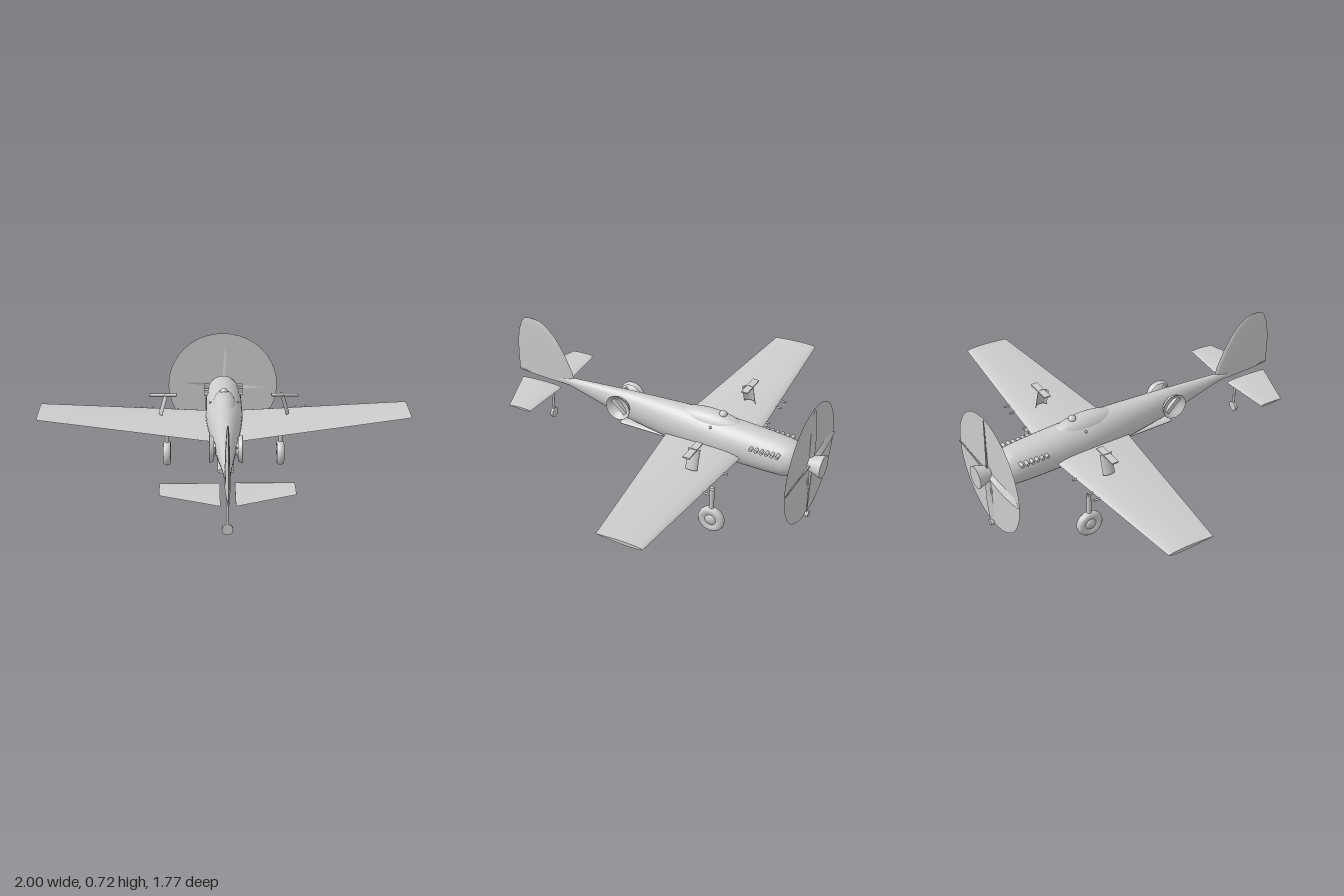
import * as THREE from 'three';
import { toCreasedNormals } from 'three/addons/utils/BufferGeometryUtils.js';

const mat = new THREE.MeshStandardMaterial({ color: 0xcccccc });
const thin = new THREE.MeshStandardMaterial({ color: 0xcccccc, side: THREE.DoubleSide });
const V = (x, y, z) => new THREE.Vector3(x, y, z);

// Closed skin through equal-length loops of points, with end caps
function loft(rings, crease = 0.7) {
  const n = rings[0].length, pts = rings.flat(), tris = [];
  for (let r = 0; r < rings.length - 1; r++) {
    for (let i = 0; i < n; i++) {
      const a = r * n + i, b = r * n + (i + 1) % n;
      tris.push([a, b, a + n], [b, b + n, a + n]);
    }
  }
  [0, rings.length - 1].forEach((r, end) => {
    const c = pts.length, mid = V(0, 0, 0);
    rings[r].forEach(p => mid.addScaledVector(p, 1 / n));
    pts.push(mid);
    for (let i = 0; i < n; i++) {
      const a = r * n + i, b = r * n + (i + 1) % n;
      tris.push(end ? [a, b, c] : [b, a, c]);
    }
  });
  // Turn all faces outward by checking the enclosed volume
  let volume = 0;
  for (const [a, b, c] of tris) volume += pts[a].dot(V(0, 0, 0).crossVectors(pts[b], pts[c]));
  const index = tris.flatMap(([a, b, c]) => (volume < 0 ? [a, c, b] : [a, b, c]));
  const geo = new THREE.BufferGeometry().setFromPoints(pts);
  geo.setIndex(index);
  return toCreasedNormals(geo.toNonIndexed(), crease);
}

// Aerofoil loop: u runs from leading edge (0) to trailing edge (1), t is -1..1 thickness
const foil = Array.from({ length: 24 }, (_, i) => {
  const a = i / 24 * Math.PI * 2, u = (1 - Math.cos(a)) / 2;
  return [u, Math.sin(a) * Math.sqrt(1 - u) * 1.3];
});

export function createModel() {
  const model = new THREE.Group();
  const add = (name, geo, x = 0, y = 0, z = 0, material = mat, parent = model) => {
    const mesh = new THREE.Mesh(geo, material);
    mesh.name = name;
    mesh.position.set(x, y, z);
    parent.add(mesh);
    return mesh;
  };
  const rodZ = (r0, r1, len) => new THREE.CylinderGeometry(r0, r1, len, 24).rotateX(Math.PI / 2);

  // Fuselage sections: z, top, bottom, half width
  const body = [
    [-0.77, 0.395, 0.285, 0.055], [-0.755, 0.41, 0.262, 0.072], [-0.73, 0.422, 0.243, 0.088],
    [-0.69, 0.43, 0.233, 0.096], [-0.6, 0.438, 0.23, 0.1], [-0.45, 0.449, 0.229, 0.1],
    [-0.3, 0.456, 0.234, 0.1], [-0.18, 0.46, 0.238, 0.092], [-0.04, 0.456, 0.248, 0.078],
    [0.22, 0.446, 0.286, 0.05], [0.4, 0.434, 0.332, 0.032], [0.56, 0.422, 0.375, 0.018],
    [0.7, 0.408, 0.382, 0.012], [0.88, 0.394, 0.386, 0.004],
  ];
  add('fuselage', loft(body.map(([z, top, bot, w]) => Array.from({ length: 36 }, (_, i) => {
    const a = i / 36 * Math.PI * 2;
    return V(Math.cos(a) * w, (top + bot) / 2 + Math.sin(a) * (top - bot) / 2, z);
  }))));
  add('canopy', new THREE.SphereGeometry(1, 32, 20).scale(0.066, 0.073, 0.2), 0, 0.406, -0.27);
  add('canopyKnob', new THREE.SphereGeometry(0.021, 20, 14), 0, 0.472, -0.34);

  // Radiator duct under the belly and chin intake
  add('radiatorDuct', rodZ(1, 1, 0.4).scale(0.042, 0.014, 1), 0, 0.262, 0.035);
  add('chinIntake', rodZ(0.023, 0.023, 0.085), 0, 0.229, -0.775);

  // Tail fin sections: y, leading z, trailing z, half thickness
  const fin = [
    [0.385, 0.53, 0.885, 0.014], [0.46, 0.55, 0.886, 0.013], [0.56, 0.595, 0.885, 0.011],
    [0.64, 0.645, 0.872, 0.008], [0.69, 0.695, 0.853, 0.006], [0.714, 0.732, 0.835, 0.004],
    [0.722, 0.765, 0.805, 0.002],
  ];
  add('tailFin', loft(fin.map(([y, z0, z1, t]) => foil.map(([u, k]) => V(k * t, y, z0 + u * (z1 - z0))))));

  // Wing-like surface from sections: x, y, leading z, trailing z, half thickness
  const panel = (s, sections) => loft(sections.map(([x, y, z0, z1, t]) =>
    foil.map(([u, k]) => V(s * x, y + k * t - 0.03 * u * t, z0 + u * (z1 - z0)))));

  for (const s of [1, -1]) {
    const side = s > 0 ? 'left' : 'right';
    add(side + 'Wing', panel(s, [
      [0, 0.302, -0.485, -0.04, 0.026], [0.1, 0.305, -0.48, -0.055, 0.026],
      [0.97, 0.369, -0.437, -0.19, 0.011], [1, 0.372, -0.435, -0.195, 0.009],
    ]));
    add(side + 'Tailplane', panel(s, [
      [0.035, 0.368, 0.598, 0.845, 0.009], [0.315, 0.374, 0.612, 0.742, 0.006],
    ]));

    // Main landing gear
    const gear = new THREE.Group();
    gear.name = side + 'MainGear';
    gear.position.set(s * 0.317, 0.07, -0.44);
    model.add(gear);
    add('strut', new THREE.CylinderGeometry(0.012, 0.012, 0.14, 16), 0, 0.11, 0, mat, gear);
    const tyre = [[0.03, -0.014], [0.046, -0.021], [0.06, -0.02], [0.068, -0.012], [0.07, 0],
      [0.068, 0.012], [0.06, 0.02], [0.046, 0.021], [0.03, 0.014]].map(p => new THREE.Vector2(...p));
    add('tyre', new THREE.LatheGeometry(tyre, 36).rotateZ(Math.PI / 2), 0, 0, 0, thin, gear);
    const hub = [[0, -0.022], [0.015, -0.019], [0.034, -0.012], [0.034, 0.012], [0.015, 0.019], [0, 0.022]]
      .map(p => new THREE.Vector2(...p));
    add('hub', new THREE.LatheGeometry(hub, 28).rotateZ(Math.PI / 2), 0, 0, 0, mat, gear);

    // Pedestal above the wing: leaning curved shell with a flat bar on top
    const shell = new THREE.CylinderGeometry(0.032, 0.032, 0.11, 20, 3, true, s > 0 ? 0 : Math.PI, Math.PI);
    shell.scale(0.6, 1, 1);
    add(side + 'PedestalShell', shell, s * 0.32, 0.402, -0.335, thin).rotation.z = s * 0.28;
    add(side + 'PedestalBar', new THREE.BoxGeometry(0.145, 0.007, 0.036), s * 0.328, 0.454, -0.337);

    // Wing gun barrels
    for (const x of [0.253, 0.395, 0.455]) {
      add(side + 'GunBarrel', rodZ(0.005, 0.005, 0.05), s * x, 0.304 + (x - 0.1) * 0.074, -0.466);
    }

    // Row of exhaust stubs on the nose
    for (let i = 0; i < 6; i++) {
      add(side + 'Exhaust', new THREE.CylinderGeometry(0.009, 0.009, 0.035, 12).rotateZ(Math.PI / 2),
        s * 0.092, 0.385, -0.54 - i * 0.028);
    }
    add(side + 'CockpitStud', new THREE.SphereGeometry(0.007, 12, 8), s * 0.074, 0.425, -0.305);

    // Round side blister: rim, shallow dish and slanting bar
    const blister = new THREE.Group();
    blister.name = side + 'SideBlister';
    blister.position.set(s * 0.06, 0.38, 0.225);
    blister.scale.x = s;
    model.add(blister);
    const dish = [[0.001, -0.012], [0.03, -0.008], [0.05, 0.004], [0.068, 0.024], [0.07, 0.02], [0.06, 0]]
      .map(p => new THREE.Vector2(...p));
    add('dish', new THREE.LatheGeometry(dish, 36).rotateZ(-Math.PI / 2), 0, 0, 0, thin, blister);
    add('bar', new THREE.BoxGeometry(0.02, 0.1, 0.024), 0, 0, 0, mat, blister).rotation.x = 0.8;
  }

  // Tail gear
  add('tailStrut', new THREE.CylinderGeometry(0.007, 0.007, 0.17, 14), 0, 0.262, 0.68);
  add('tailWheel', rodZ(0.027, 0.027, 0.014), 0, 0.167, 0.68);

  // Propeller: flared spinner, four twisted blades and thin sweep disc
  const propeller = new THREE.Group();
  propeller.name = 'propeller';
  propeller.position.set(0, 0.335, -0.82);
  model.add(propeller);
  add('spinner', new THREE.CylinderGeometry(0.022, 0.06, 0.12, 32).rotateX(Math.PI / 2), 0, 0, -0.007, mat, propeller);
  add('sweepDisc', new THREE.CircleGeometry(0.315, 40), 0, 0, 0.006, thin, propeller);
  // Blade sections: radius, half chord, half thickness, twist
  const blade = loft([[0.015, 0.012, 0.006, 0.9], [0.08, 0.02, 0.005, 0.6], [0.17, 0.023, 0.004, 0.42],
    [0.26, 0.018, 0.003, 0.3], [0.305, 0.009, 0.002, 0.25], [0.315, 0.002, 0.001, 0.2]]
    .map(([r, c, t, w]) => foil.map(([u, k]) => {
      const a = (u * 2 - 1) * c, b = k * t;
      return V(a * Math.cos(w) - b * Math.sin(w), r, a * Math.sin(w) + b * Math.cos(w));
    })));
  for (let i = 0; i < 4; i++) add('blade', blade, 0, 0, 0, mat, propeller).rotation.z = i * Math.PI / 2;
  add('bladeWeight', rodZ(0.016, 0.016, 0.028), 0, 0.024, -0.818);

  return model;
}
